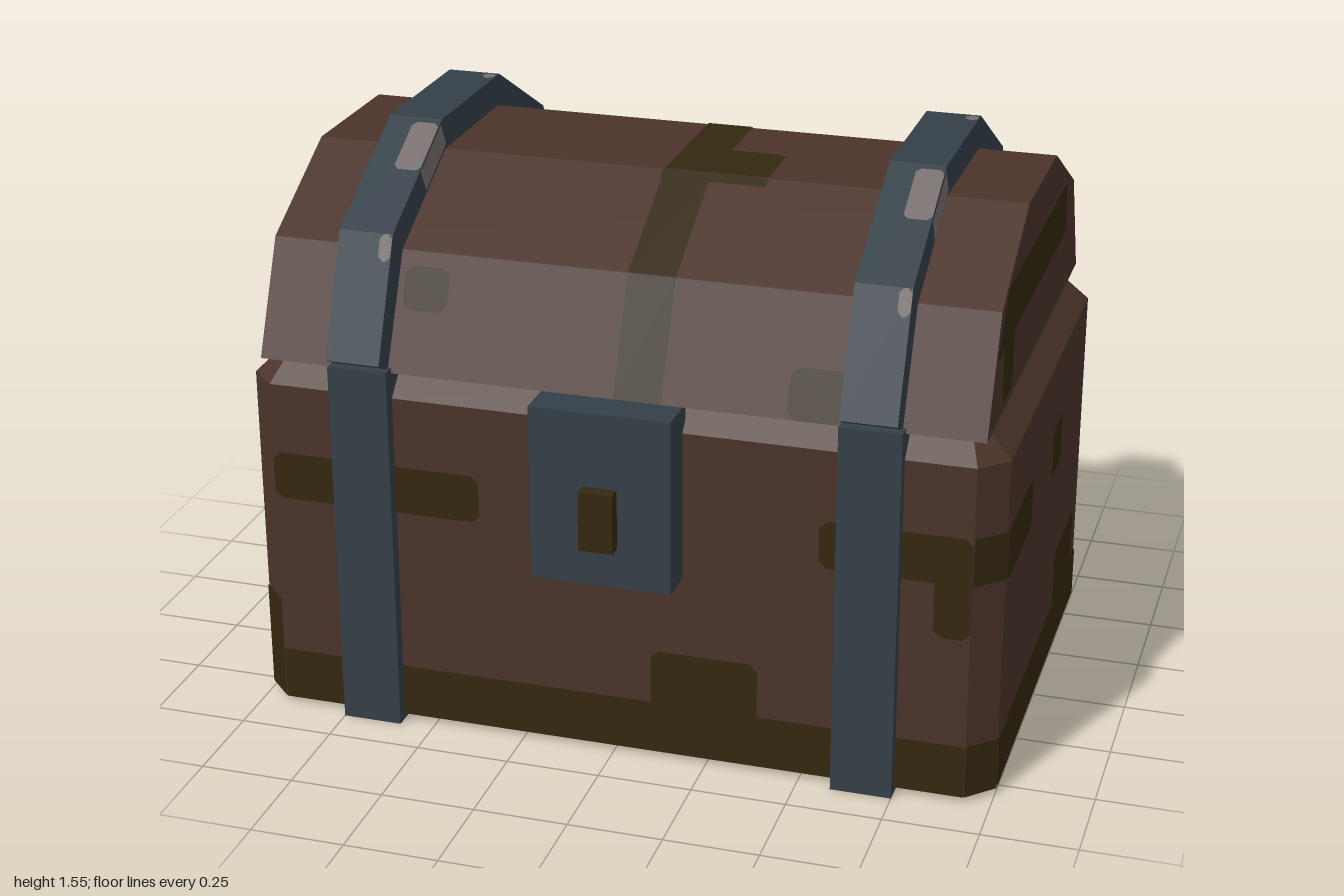
import * as THREE from 'three';

const flat = (name, color) => {
  const m = new THREE.MeshStandardMaterial({ color });
  m.name = name;
  return m;
};
const V3 = (x, y, z) => new THREE.Vector3(x, y, z);

export function createModel() {
  const chest = new THREE.Group();
  chest.name = 'treasureChest';
  const wood = flat('brownWood', 0x4a332a);
  const moss = flat('darkOlive', 0x33270f);
  const steel = flat('blueSteel', 0x343f47);
  const worn = flat('wornGrey', 0x766e6c);

  const add = (parent, name, geo, mat) => {
    const m = new THREE.Mesh(geo, mat);
    m.name = name;
    parent.add(m);
    return m;
  };
  const box = (parent, name, mat, x0, x1, y0, y1, z0, z1) =>
    add(parent, name, new THREE.BoxGeometry(x1 - x0, y1 - y0, z1 - z0), mat)
      .position.set((x0 + x1) / 2, (y0 + y1) / 2, (z0 + z1) / 2);

  // Extrude a (z, y) profile along x, centred on x = 0
  const extrudeX = (pts, width) => {
    const g = new THREE.ExtrudeGeometry(
      new THREE.Shape(pts.map(p => new THREE.Vector2(...p))), { depth: width, bevelEnabled: false });
    return g.translate(0, 0, -width / 2).rotateY(-Math.PI / 2);
  };

  // Flat painted patch on a face spanned by u and v from an origin
  const patch = (parent, name, mat, origin, u, v, pts) => {
    const U = u.clone().normalize(), V = v.clone().normalize();
    const N = U.clone().cross(V);
    const g = new THREE.ShapeGeometry(new THREE.Shape(pts.map(p => new THREE.Vector2(...p))));
    g.applyMatrix4(new THREE.Matrix4().makeBasis(U, V, N)
      .setPosition(origin.clone().addScaledVector(N, 0.003)));
    add(parent, name, g, mat);
  };
  // Rectangle with small clipped corners
  const rect = (a, b, c, d, r = 0.02) => r === 0
    ? [[a, c], [b, c], [b, d], [a, d]]
    : [[a + r, c], [b - r, c], [b, c + r], [b, d - r], [b - r, d], [a + r, d], [a, d - r], [a, c + r]];

  // Body: octagonal rings stacked, with a bevelled rim
  const ring = (x, zf, zb, c) => [
    [-x + c, zf], [x - c, zf], [x, zf - c], [x, zb + c],
    [x - c, zb], [-x + c, zb], [-x, zb + c], [-x, zf - c]];
  const outline = ring(1, 0.61, -0.685, 0.07);
  const layers = [[outline, 0.015], [outline, 0.93], [ring(0.93, 0.54, -0.615, 0.03), 1.0]];
  const pos = [], idx = [];
  layers.forEach(([r, y]) => r.forEach(([x, z]) => pos.push(x, y, z)));
  for (let l = 0; l < 2; l++) {
    for (let i = 0; i < 8; i++) {
      const a = l * 8 + i, b = l * 8 + (i + 1) % 8;
      idx.push(a, b, b + 8, a, b + 8, a + 8);
    }
  }
  for (let i = 1; i < 7; i++) idx.push(0, i + 1, i, 16, 16 + i, 17 + i);
  let bodyGeo = new THREE.BufferGeometry();
  bodyGeo.setAttribute('position', new THREE.Float32BufferAttribute(pos, 3));
  bodyGeo.setIndex(idx);
  bodyGeo = bodyGeo.toNonIndexed();
  bodyGeo.computeVertexNormals();
  add(chest, 'body', bodyGeo, wood);

  // Moss on the body walls: front, then around by the right; u runs along each wall
  const wallMoss = [
    [[0, 0.57, 0.61, 0.74], [1.47, 1.86, 0.61, 0.74], [1.765, 1.86, 0.46, 0.66], [1.03, 1.315, 0.13, 0.31]],
    [[0, 0.099, 0.61, 0.74, 0]],
    [[0, 0.34, 0.6, 0.74], [0.64, 0.785, 0.6, 0.74], [0.775, 1.08, 0.13, 0.315]],
    [[0.06, 0.099, 0.6, 0.74, 0]],
    [[0, 0.14, 0.58, 0.74], [0.695, 0.85, 0.45, 0.59], [1.3, 1.45, 0.44, 0.59],
      [1.14, 1.31, 0.29, 0.45], [1.74, 1.86, 0.28, 0.43], [1.74, 1.86, 0.7, 0.84]],
    [[0, 0.099, 0.13, 0.31, 0], [0, 0.099, 0.6, 0.9, 0]],
    [[0.17, 0.36, 0.58, 0.74], [0.88, 1.155, 0.3, 0.46], [0.55, 0.8, 0.24, 0.36], [0.72, 0.95, 0.32, 0.48]],
    [[0, 0.099, 0.13, 0.31, 0]],
  ];
  wallMoss.forEach((list, i) => {
    const [x0, z0] = outline[i], [x1, z1] = outline[(i + 1) % 8];
    const len = Math.hypot(x1 - x0, z1 - z0);
    [[0, len, 0.015, 0.16, 0], ...list].forEach(r =>
      patch(chest, 'wallMoss', moss, V3(x0, 0, z0), V3(x1 - x0, 0, z1 - z0), V3(0, 1, 0), rect(...r)));
  });
  // Moss on the rim and underside
  [[-0.53, -0.41], [-0.1, 0.07], [0.27, 0.4]].forEach(([a, b]) =>
    patch(chest, 'rimMoss', moss, V3(-1, 0.93, 0), V3(0, 0, 1), V3(0.07, 0.07, 0), rect(a, b, 0, 0.099, 0)));
  [[-0.75, 0.85, -0.2, -0.06], [-0.35, -0.1, -0.34, -0.18], [0.2, 0.42, -0.08, 0.08], [-0.6, -0.4, -0.08, 0.1]]
    .forEach(r => patch(chest, 'undersideMoss', moss, V3(0, 0.015, 0), V3(1, 0, 0), V3(0, 0, 1), rect(...r)));

  // Lid: faceted barrel top
  const lidProfile = [[0.61, 1.0], [0.48, 1.29], [0.16, 1.46], [-0.24, 1.46], [-0.56, 1.29], [-0.69, 1.0]];
  add(chest, 'lid', extrudeX(lidProfile, 1.9), wood);

  // Panel frame: origin, direction along the profile, length
  const panel = (profile, i) => {
    const [za, ya] = profile[i], [zb, yb] = profile[i + 1];
    return { o: V3(0, ya, za), v: V3(0, yb - ya, zb - za), len: Math.hypot(zb - za, yb - ya) };
  };
  // Moss on the lid: a run over every panel plus blotches
  const lidMoss = [
    [[-0.58, -0.46, 0.165, 0.28], [0.45, 0.6, 0, 0.132]],
    [[0, 0.28, 0.33, 0.362, 0]],
    [[0.1, 0.28, 0, 0.19], [0.1, 0.28, 0, 0.06, 0]],
    [],
    [[-0.145, 0.04, 0.01, 0.165]],
  ];
  lidMoss.forEach((list, i) => {
    const p = panel(lidProfile, i);
    [[0.005, 0.13, 0, p.len, 0], ...list].forEach(r =>
      patch(chest, 'lidMoss', moss, p.o, V3(1, 0, 0), p.v, rect(...r)));
  });
  // Moss on both lid ends
  for (const s of [1, -1]) {
    const shapes = [
      [[0.525, 1.18], [0.415, 1.325], [-0.42, 1.325], [-0.44, 1.305], [-0.44, 1.2], [-0.42, 1.18]],
      rect(0.3, 0.44, 1.03, 1.2),
    ];
    shapes.forEach(pts => patch(chest, 'lidEndMoss', moss, V3(s * 0.95, 0, 0), V3(0, 0, -s), V3(0, 1, 0),
      pts.map(([z, y]) => [-s * z, y])));
  }

  // Straps: a band round the body and a bent band over the lid
  const bandProfile = [[0.67, 1.04], [0.54, 1.35], [0.18, 1.545], [-0.255, 1.545], [-0.61, 1.35], [-0.745, 1.04]];
  const bandInner = lidProfile.map(([z, y]) => [z, Math.max(y, 1.01)]).reverse();
  // Worn spots: panel, x range, range along the panel
  const spots = [[0, 0.04, 0.265, 0.336], [1, 0, 0.22, 0.39], [2, 0.04, 0.38, 0.42], [4, 0, 0.2, 0.338]];
  for (const x of [0.67, -0.67]) {
    const strap = new THREE.Group();
    strap.name = x > 0 ? 'leftStrap' : 'rightStrap';
    strap.position.x = x;
    chest.add(strap);
    box(strap, 'bodyBand', steel, -0.08, 0.08, 0, 1.012, -0.72, 0.645);
    add(strap, 'lidBand', extrudeX([...bandProfile, ...bandInner], 0.145), steel);
    spots.forEach(([i, u0, v0, v1]) => {
      const { o, v } = panel(bandProfile, i);
      const n = V3(1, 0, 0).cross(v);
      patch(strap, 'wornSpot', worn, o, V3(1, 0, 0), v, rect(u0, 0.0725, v0, v1, 0.012));
      if (u0 === 0) {
        patch(strap, 'wornEdge', worn, o.clone().setX(0.0725), v, n, rect(v0, v1, -0.07, 0, 0));
      }
    });
  }

  // Lock plate and keyhole block
  box(chest, 'lockPlate', steel, -0.185, 0.185, 0.53, 1.0, 0.58, 0.712);
  box(chest, 'keyhole', moss, -0.045, 0.045, 0.64, 0.8, 0.7, 0.75);
  return chest;
}
